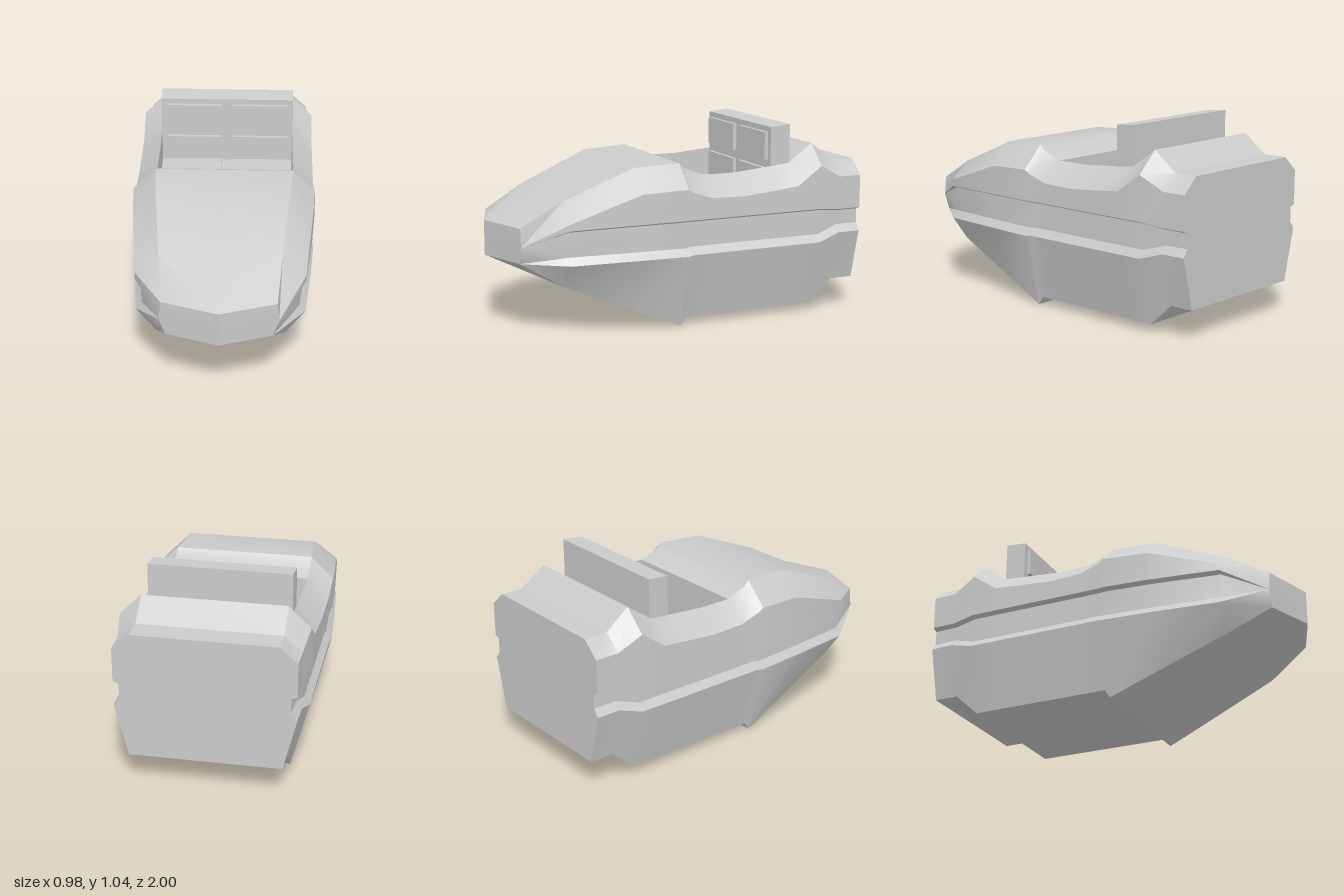
import * as THREE from 'three';
import { toCreasedNormals } from 'three/addons/utils/BufferGeometryUtils.js';

const grey = new THREE.MeshStandardMaterial({ color: 0xcccccc });
const greyThin = new THREE.MeshStandardMaterial({ color: 0xcccccc, side: THREE.DoubleSide });

// Hull stations from stern to bow:
// z, top edge x/y, shoulder x/y, groove upper y, groove lower y, keel edge x/y
const stations = [
  [-1.0, 0.37, 0.83, 0.46, 0.75, 0.57, 0.44, 0.39, 0.165],
  [-0.87, 0.37, 0.83, 0.463, 0.75, 0.57, 0.44, 0.39, 0.165],
  [-0.74, 0.37, 0.93, 0.485, 0.82, 0.585, 0.40, 0.39, 0.045],
  [-0.60, 0.37, 0.83, 0.485, 0.72, 0.585, 0.40, 0.39, 0.045],
  [-0.45, 0.37, 0.815, 0.485, 0.705, 0.585, 0.40, 0.39, 0.045],
  [-0.27, 0.37, 0.80, 0.485, 0.69, 0.585, 0.40, 0.39, 0.045],
  [-0.09, 0.37, 0.80, 0.485, 0.695, 0.585, 0.40, 0.39, 0.045],
  [0.02, 0.37, 0.84, 0.486, 0.73, 0.585, 0.40, 0.39, 0.045],
  [0.05, 0.37, 0.87, 0.49, 0.75, 0.585, 0.395, 0.39, 0.0],
  [0.30, 0.35, 0.86, 0.473, 0.74, 0.583, 0.395, 0.37, 0.104],
  [0.68, 0.312, 0.705, 0.435, 0.61, 0.575, 0.393, 0.335, 0.262],
];
const cockpitFrom = 3, cockpitTo = 6; // stations bounding the open cockpit
const floorY = 0.45;

// Half outline of a station, from centre top round to centre bottom
function halfOutline([z, xt, yt, xs, ys, gu, gl, xb, yb]) {
  const xi = xs - 0.03;
  return [[0, yt, z], [xt, yt, z], [xs, ys, z], [xs, gu, z], [xi, gu - 0.012, z],
    [xi, gl + 0.04, z], [xs, gl, z], [xb, yb, z], [0, yb, z]];
}

// Bow outline: all the side lines run together at the blunt prow
const prow = [0.30, 0.48, 0.9];
const bow = [[0, 0.58, 1], [0.29, 0.58, 0.9], prow, prow, prow, prow,
  [0.27, 0.392, 0.9], [0.27, 0.392, 0.9], [0, 0.395, 1]];

// Close a half outline into a ring by mirroring it
const ring = (half) => [...half, ...half.slice(1, -1).reverse().map(([x, y, z]) => [-x, y, z])];

function geometryFrom(triangles) {
  const solid = triangles.filter((t) => {
    const [a, b, c] = t.map((p) => new THREE.Vector3(...p));
    return b.sub(a).cross(c.sub(a)).length() > 1e-7;
  });
  const g = new THREE.BufferGeometry();
  g.setAttribute('position', new THREE.Float32BufferAttribute(solid.flat(2), 3));
  return toCreasedNormals(g, 0.5);
}

function hullGeometry() {
  const rings = [...stations.map(halfOutline), bow].map(ring);
  const n = rings[0].length, tris = [];
  for (let i = 0; i < rings.length - 1; i++) {
    for (let j = 0; j < n; j++) {
      const overCockpit = i >= cockpitFrom && i < cockpitTo && (j === 0 || j === n - 1);
      if (overCockpit) continue;
      const k = (j + 1) % n;
      const a = rings[i][j], b = rings[i][k], c = rings[i + 1][k], d = rings[i + 1][j];
      tris.push([a, d, c], [a, c, b]);
    }
  }
  // Stern and prow faces
  const stern = rings[0], front = rings[rings.length - 1];
  for (let j = 0; j < n; j++) {
    const k = (j + 1) % n;
    tris.push([[0, 0.5, -1], stern[j], stern[k]]);
    tris.push([[0, 0.488, 1], front[k], front[j]]);
  }
  return geometryFrom(tris);
}

// Inner cockpit side wall, from the rail down to the floor
function wallGeometry(side) {
  const tris = [];
  for (let i = cockpitFrom; i < cockpitTo; i++) {
    const [z0, x0, y0] = stations[i], [z1, x1, y1] = stations[i + 1];
    const a = [side * x0, y0, z0], b = [side * x1, y1, z1];
    const c = [side * x1, floorY, z1], d = [side * x0, floorY, z0];
    tris.push([a, b, c], [a, c, d]);
  }
  return geometryFrom(tris);
}

// Bench and backrest: a side profile (z, y) extruded across the cockpit
function seatGeometry(width) {
  const profile = [[-0.265, floorY], [-0.275, 0.65], [-0.49, 0.65], [-0.49, 1.03],
    [-0.605, 1.04], [-0.605, floorY]];
  const shape = new THREE.Shape(profile.map(([z, y]) => new THREE.Vector2(-z, y)));
  const g = new THREE.ExtrudeGeometry(shape, { depth: width, bevelEnabled: false });
  g.translate(0, 0, -width / 2);
  return g.rotateY(Math.PI / 2);
}

export function createModel() {
  const model = new THREE.Group();
  const add = (name, geometry, material = grey) => {
    const mesh = new THREE.Mesh(geometry, material);
    mesh.name = name;
    model.add(mesh);
    return mesh;
  };
  const box = (name, w, h, d, x, y, z) =>
    add(name, new THREE.BoxGeometry(w, h, d)).position.set(x, y, z);

  add('hull', hullGeometry());

  // Cockpit lining
  box('cockpitFloor', 0.74, 0.02, 0.52, 0, floorY - 0.01, -0.345);
  add('dashboardPanel', new THREE.PlaneGeometry(0.74, 0.8 - floorY), greyThin)
    .position.set(0, (0.8 + floorY) / 2, -0.09);
  add('seat', seatGeometry(0.742));

  for (const side of [1, -1]) {
    add('cockpitWall', wallGeometry(side), greyThin);
    // Padded panels on the backrest and bench
    const x = side * 0.185;
    box('upperBackCushion', 0.31, 0.15, 0.02, x, 0.925, -0.48);
    box('lowerBackCushion', 0.31, 0.135, 0.02, x, 0.737, -0.48);
    box('seatCushion', 0.31, 0.02, 0.15, x, 0.66, -0.385);
  }
  return model;
}
